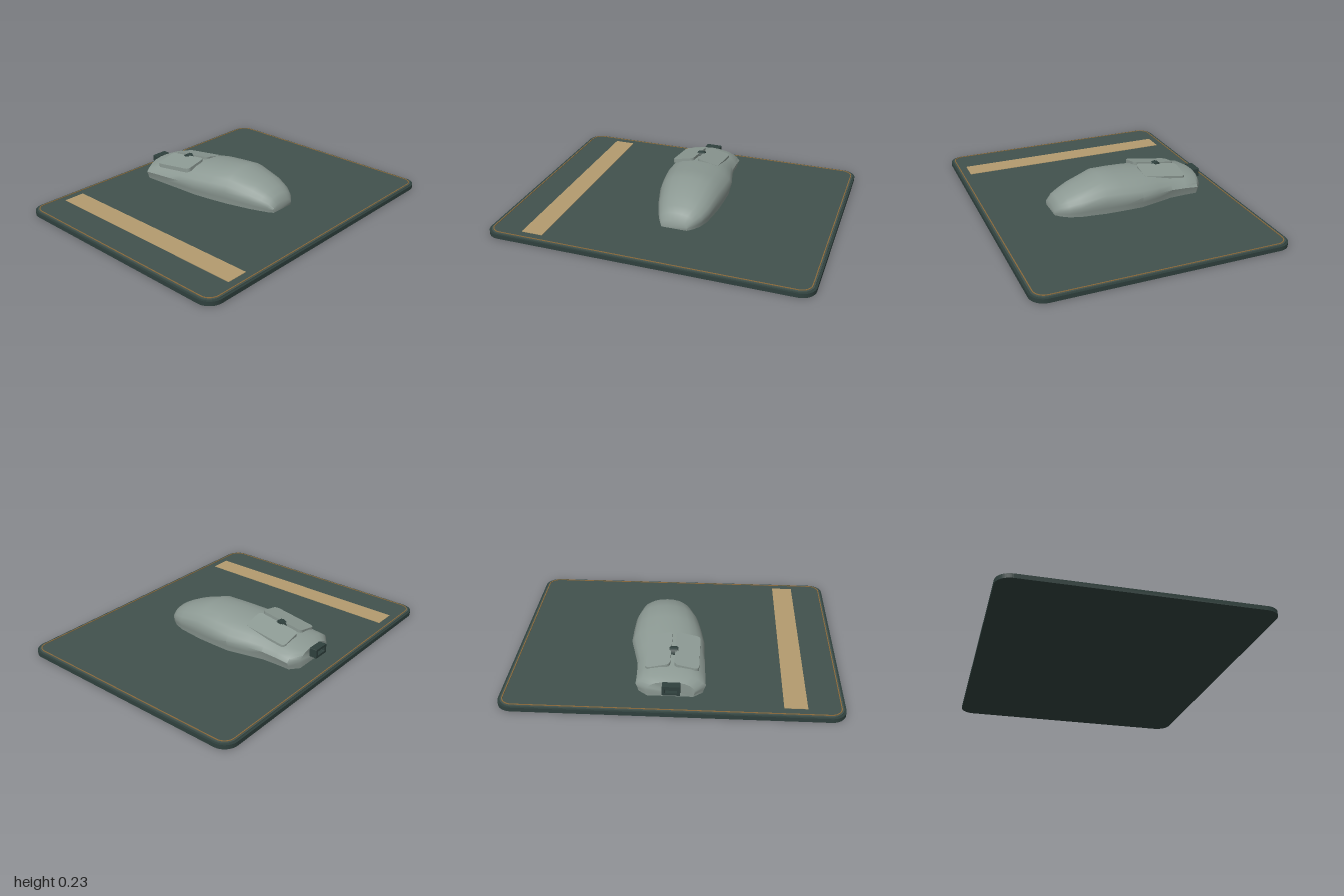
import * as THREE from 'three';
import { toCreasedNormals } from 'three/addons/utils/BufferGeometryUtils.js';

const mat = (name, color, extra = {}) => {
  const m = new THREE.MeshStandardMaterial({ color, ...extra });
  m.name = name;
  return m;
};

// Rounded rectangle outline centred on (cx, cy)
function roundRect(w, h, r, cx = 0, cy = 0, Type = THREE.Shape) {
  const s = new Type(), x = w / 2 - r, y = h / 2 - r;
  s.absarc(cx + x, cy + y, r, 0, Math.PI / 2);
  s.absarc(cx - x, cy + y, r, Math.PI / 2, Math.PI);
  s.absarc(cx - x, cy - y, r, Math.PI, Math.PI * 1.5);
  s.absarc(cx + x, cy - y, r, Math.PI * 1.5, Math.PI * 2);
  s.closePath();
  return s;
}

// Lay a shape flat and extrude it upwards from y
function slab(shape, y, depth) {
  return new THREE.ExtrudeGeometry(shape, { depth, bevelEnabled: false, curveSegments: 8 })
    .rotateX(-Math.PI / 2).translate(0, y, 0);
}

// Ergonomic shell lofted through sections: z, left edge, right edge, top
function shellGeometry() {
  const sections = [
    [0.375, -0.02, 0.155, 0.085], [0.345, -0.04, 0.19, 0.125], [0.3, -0.06, 0.222, 0.152],
    [0.23, -0.088, 0.247, 0.185], [0.07, -0.135, 0.268, 0.235], [-0.05, -0.16, 0.272, 0.226],
    [-0.17, -0.18, 0.272, 0.214], [-0.3, -0.185, 0.24, 0.197], [-0.4, -0.19, 0.215, 0.18],
    [-0.5, -0.195, 0.21, 0.165], [-0.585, -0.2, 0.21, 0.15], [-0.63, -0.14, 0.15, 0.13],
  ];
  const half = [[-0.92, 0], [-0.95, 0.2], [-1, 0.42], [-0.92, 0.6], [-0.78, 0.77], [-0.58, 0.9], [-0.3, 0.975]];
  const profile = [...half, [0, 1], ...half.map(([u, v]) => [-u, v]).reverse()];
  const n = profile.length, base = 0.03, pos = [], idx = [];
  for (const [z, l, r, top] of sections)
    for (const [u, v] of profile)
      pos.push((l + r) / 2 + u * (r - l) / 2, base + v * (top - base), z);
  for (let i = 0; i < sections.length - 1; i++)
    for (let j = 0; j < n; j++) {
      const k = (j + 1) % n, a = i * n + j, b = i * n + k;
      idx.push(a, b, a + n, b, b + n, a + n);
    }
  // End caps
  const last = (sections.length - 1) * n;
  for (let j = 1; j < n - 1; j++) {
    idx.push(0, j + 1, j);
    idx.push(last, last + j, last + j + 1);
  }
  const g = new THREE.BufferGeometry();
  g.setAttribute('position', new THREE.Float32BufferAttribute(pos, 3));
  g.setIndex(idx);
  return toCreasedNormals(g, 0.8);
}

// Button plate sloping down to the nose and to its outer side
function buttonGeometry(cx) {
  const g = slab(roundRect(0.145, 0.29, 0.025, cx, 0.375), 0, 0.026);
  const p = g.attributes.position;
  for (let i = 0; i < p.count; i++) {
    const x = p.getX(i), z = p.getZ(i);
    p.setY(i, p.getY(i) + 0.197 + 0.145 * (z + 0.23) - 0.22 * (Math.abs(x) - 0.015));
  }
  g.computeVertexNormals();
  return g;
}

export function createModel() {
  const root = new THREE.Group();
  root.name = 'mouseAndMat';
  const cloth = mat('matCloth', 0x41524d);
  const rim = mat('darkTrim', 0x2f403d);
  const thread = mat('stitching', 0x8a6a3c);
  const tan = mat('tanStripe', 0xb39b6e);
  const grey = mat('shellGrey', 0x8c9993);

  const add = (parent, name, geo, material) => {
    const m = new THREE.Mesh(geo, material);
    m.name = name;
    parent.add(m);
    return m;
  };

  // Desk mat
  const pad = new THREE.Group();
  pad.name = 'deskMat';
  root.add(pad);
  add(pad, 'matBase', slab(roundRect(2, 1.57, 0.09), 0, 0.026), rim);
  add(pad, 'matTop', slab(roundRect(1.975, 1.545, 0.08), 0.026, 0.006), cloth);
  const seam = roundRect(1.956, 1.526, 0.07);
  seam.holes.push(roundRect(1.944, 1.514, 0.064, 0, 0, THREE.Path));
  add(pad, 'edgeStitching', slab(seam, 0.032, 0.003), thread);
  add(pad, 'stripe', new THREE.BoxGeometry(0.135, 0.004, 1.42).translate(-0.716, 0.033, 0), tan);

  // Mouse
  const mouse = new THREE.Group();
  mouse.name = 'mouse';
  root.add(mouse);
  add(mouse, 'shell', shellGeometry(), grey);
  add(mouse, 'leftButton', buttonGeometry(0.085), grey);
  add(mouse, 'rightButton', buttonGeometry(-0.085), grey);

  // Scroll wheel
  const wheel = new THREE.CylinderGeometry(0.036, 0.036, 0.04, 16).rotateZ(Math.PI / 2);
  add(mouse, 'scrollWheel', wheel.translate(-0.003, 0.174, -0.38), rim);
  const hub = new THREE.CylinderGeometry(0.024, 0.024, 0.052, 12).rotateZ(Math.PI / 2);
  add(mouse, 'wheelHub', hub.translate(-0.003, 0.182, -0.38), rim);

  // Socket at the nose: neck, open frame and inner wall
  add(mouse, 'socketNeck', new THREE.BoxGeometry(0.085, 0.04, 0.06).translate(-0.003, 0.1, -0.625), rim);
  const frame = roundRect(0.105, 0.058, 0.004, -0.003, 0.102);
  frame.holes.push(roundRect(0.07, 0.028, 0.003, -0.003, 0.102, THREE.Path));
  add(mouse, 'socketFrame', new THREE.ExtrudeGeometry(frame, { depth: 0.048, bevelEnabled: false, curveSegments: 3 })
    .translate(0, 0, -0.68), rim);

  return root;
}
